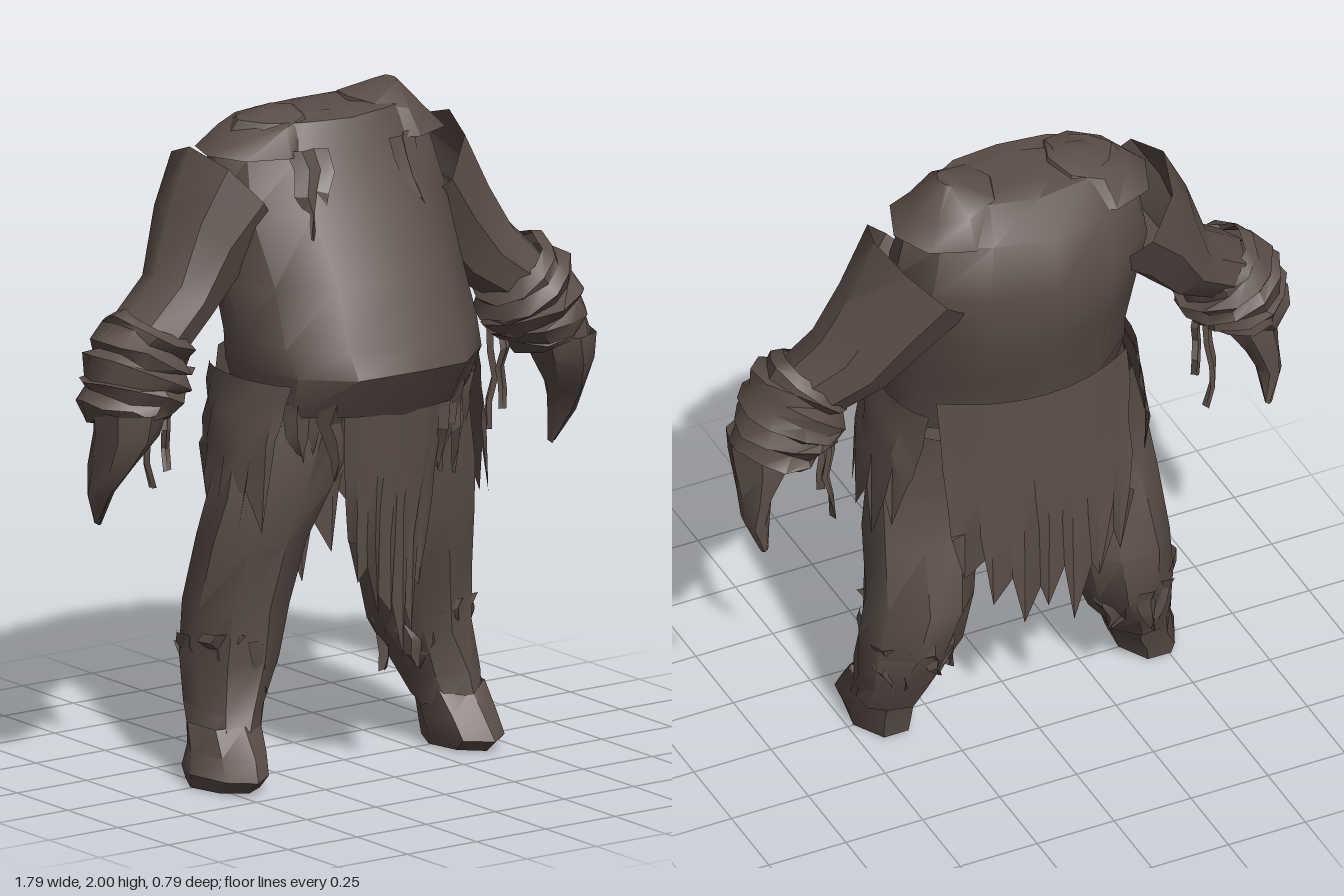
import * as THREE from 'three';
import { toCreasedNormals } from 'three/addons/utils/BufferGeometryUtils.js';

// Small seeded generator for worn, uneven cloth
let seed = 7;
const rnd = () => { seed = (seed * 16807) % 2147483647; return seed / 2147483647; };
const jit = (a) => (rnd() - 0.5) * 2 * a;

const cloth = new THREE.MeshStandardMaterial({ color: 0x5b4e49, side: THREE.DoubleSide });
cloth.name = 'dark brown cloth';

// Grid of points (rows of equal length) to a creased surface; caps lists rows to close
function skin(rows, closed, crease = 0.7, caps = []) {
  const n = rows[0].length, pos = [], idx = [];
  rows.forEach((r) => r.forEach((p) => pos.push(...p)));
  for (let i = 0; i < rows.length - 1; i++) {
    for (let j = 0; j < (closed ? n : n - 1); j++) {
      const a = i * n + j, b = i * n + (j + 1) % n;
      idx.push(a, a + n, b, b, a + n, b + n);
    }
  }
  caps.forEach((i) => {
    const a = i * n;
    for (let j = 1; j < n - 1; j++) {
      if (i) idx.push(a, a + j + 1, a + j); else idx.push(a, a + j, a + j + 1);
    }
  });
  const g = new THREE.BufferGeometry();
  g.setAttribute('position', new THREE.Float32BufferAttribute(pos, 3));
  g.setIndex(idx);
  return toCreasedNormals(g, crease);
}

// Sections [x, y, z, width radius, depth radius, tilt], listed from top to bottom
function loft(sections, sides, rough = 0, caps = []) {
  return skin(sections.map(([x, y, z, rx, rz, tilt = 0]) => {
    const ring = [];
    for (let j = 0; j < sides; j++) {
      const a = -(j / sides) * Math.PI * 2 + Math.PI / 2;
      const u = Math.cos(a) * rx;
      ring.push([x + u * Math.cos(tilt) + jit(rough), y + u * Math.sin(tilt) + jit(rough),
        z + Math.sin(a) * rz + jit(rough)]);
    }
    return ring;
  }), true, 0.7, caps);
}

// Torn strip hanging from (x, y, z) to a tip; face is its outward heading
function rag(x, y, z, width, length, face, lean = 0) {
  const rows = [];
  [1, 0.95, 0.8, 0.5, 0.06].forEach((t, i) => {
    const k = i / 4, out = lean * k + jit(0.01), slide = jit(0.015);
    rows.push([-1, -0.3, 0.35, 1].map((s, j) => {
      const w = s * width * 0.5 * t + slide;
      const o = out + (j === 1 ? 0.015 : j === 2 ? -0.01 : 0);
      return [x + Math.cos(face) * w + Math.sin(face) * o,
        y - length * k + (i ? jit(length * 0.03) : 0),
        z - Math.sin(face) * w + Math.cos(face) * o];
    }));
  });
  return skin(rows, false, 0.4);
}

// Wide cloth with a torn lower edge; tips and notches alternate along the bottom.
// place(t, k) gives x and z for a position across (0..1) and a drop (0..1).
function drape(top, bottoms, place, fold = 0.01) {
  const n = bottoms.length - 1, rows = [];
  const bends = bottoms.map((b, j) => (j % 2 ? 1 : -1) * fold + jit(fold));
  for (let i = 0; i <= 5; i++) {
    const k = i / 5;
    rows.push(bottoms.map((b, j) => {
      const [x, z] = place(j / n, k);
      // Folds run evenly down the cloth and only the last row is torn
      const y = i < 5 ? top + (Math.max(...bottoms) - top) * i / 4 : b;
      return [x + (i ? jit(0.008) : 0), Math.max(y, b), z + bends[j] * k];
    }));
  }
  return skin(rows, false, 0.6);
}

export function createModel() {
  seed = 7;
  const model = new THREE.Group();
  const add = (geo, name, parent = model) => {
    const m = new THREE.Mesh(geo, cloth);
    m.name = name;
    parent.add(m);
  };
  const group = (name) => {
    const g = new THREE.Group();
    g.name = name;
    model.add(g);
    return g;
  };

  // Heavy torso with hunched back and low belly, open at the neck
  add(loft([
    [0, 1.955, -0.1, 0.17, 0.08], [0, 1.95, -0.11, 0.3, 0.14], [0, 1.86, -0.13, 0.37, 0.21],
    [0, 1.7, -0.112, 0.4, 0.28], [0, 1.5, -0.045, 0.39, 0.325], [0, 1.33, 0.02, 0.39, 0.335],
    [0, 1.25, 0.05, 0.385, 0.345], [0, 1.11, 0.03, 0.36, 0.27],
  ], 12, 0.007, [0]), 'torso');

  for (const s of [1, -1]) {
    const side = s > 0 ? 'left' : 'right';

    // Raised shoulder, sharper on the left
    const peak = s > 0 ? [0.235, 2.0, 0.025] : [-0.16, 1.975, 0.05];
    add(loft([
      [peak[0], peak[1], -0.11, peak[2], 0.04], [s * 0.22, 1.94, -0.115, 0.13, 0.13, s * -0.2],
      [s * 0.23, 1.86, -0.12, 0.18, 0.18],
    ], 8, 0.004, [0]), side + 'Shoulder');

    // Sleeve, bent more at the right elbow
    const sleeve = s > 0
      ? [[0.34, 1.72, 0.195, 0.8], [0.45, 1.58, 0.155, 0.72], [0.55, 1.45, 0.125, 0.7]]
      : [[0.33, 1.74, 0.195, 0.85], [0.435, 1.62, 0.155, 0.82], [0.53, 1.46, 0.105, 0.78]];
    const depth = [0.2, 0.17, 0.14], zs = [-0.14, -0.13, -0.11];
    add(loft([
      ...sleeve.map(([x, y, r, t], i) => [s * x, y, zs[i], r, depth[i], s * t]),
      [s * 0.66, 1.36, -0.075, 0.105, 0.13, s * 0.7],
    ], 8, 0.006), side + 'Sleeve');

    // Wrinkled forearm wrapping: loops of bulging cloth
    const wrap = [];
    for (let i = 0; i <= 10; i++) {
      const k = i / 10, r = 0.118 + 0.037 * Math.sin(k * Math.PI) + (i % 2 ? 0.01 : -0.01);
      wrap.push([s * (0.65 + 0.12 * k), 1.395 - 0.25 * k, -0.065 + 0.02 * k, r, r * 1.08,
        s * (0.6 - 0.45 * k) + jit(0.18)]);
    }
    add(loft(wrap, 11, 0.012, [10]), side + 'Wrap');

    // Drooping flat hand running to a point at the back
    add(loft([
      [s * 0.78, 1.18, 0, 0.11, 0.11], [s * 0.79, 1.1, -0.005, 0.095, 0.11],
      [s * 0.82, 1.0, -0.035, 0.055, 0.08], [s * 0.835, 0.92, -0.065, 0.038, 0.045],
      [s * 0.82, 0.82, -0.095, 0.008, 0.01],
    ], 7, 0.005, [4]), side + 'Hand');
    add(rag(s * 0.615, 1.2, -0.12, 0.045, 0.31, 0.5), side + 'WrapStrip');
    add(rag(s * 0.61, 1.2, -0.06, 0.035, 0.24, 1.3), side + 'WrapStrip');

    // Bent leg in baggy trousers, the right one splayed wider
    const x = s > 0 ? [0.2, 0.25, 0.28, 0.31, 0.345, 0.38, 0.39]
      : [-0.21, -0.27, -0.31, -0.335, -0.355, -0.39, -0.42];
    add(loft([
      [x[0], 1.1, 0, 0.19, 0.2], [x[1], 0.88, 0.01, 0.185, 0.175], [x[2], 0.72, -0.02, 0.17, 0.175],
      [x[3], 0.52, -0.085, 0.16, 0.18], [x[4], 0.36, -0.09, 0.147, 0.165],
      [x[5], 0.22, -0.06, 0.115, 0.14], [x[6], 0.13, -0.02, 0.1, 0.125],
    ], 9, 0.012), side + 'Leg');

    // Slanted foot: narrow ankle, long low toe turned outward on the right
    const toe = s > 0 ? [0.39, 0.39] : [-0.44, -0.465];
    add(loft([
      [x[6], 0.18, -0.035, 0.105, 0.125], [toe[0], 0.1, 0.015, 0.1, 0.15],
      [toe[1], 0.045, 0.05, 0.1, 0.17], [toe[1], 0.005, 0.03, 0.09, 0.14],
    ], 7, 0.004, [3]), side + 'Foot');

    // Crumpled cuffs and knee folds lying against the trousers
    const tatters = group(side + 'LegTatters');
    for (let i = 0; i < 6; i++) {
      const a = (i / 6) * Math.PI * 2 + 0.2;
      add(rag(x[4] + Math.sin(a) * 0.135, 0.42 + jit(0.04), -0.085 + Math.cos(a) * 0.155,
        0.13, 0.16 + jit(0.06), a, -0.025), 'cuffTatter', tatters);
    }

    // Cloth hanging over the outside of the hip
    const hip = [0.98, 0.8, 0.9, 0.72, 0.88, 0.76, 0.9, 0.78, 1.0];
    add(drape(1.22, hip, (t, k) => {
      const a = (t - 0.5) * 2.2;
      return [s * (0.395 * Math.cos(a * 0.5) + 0.05 * k), Math.sin(a) * (0.23 - 0.04 * k)];
    }), side + 'HipCloth');

    // Crumpled lapel on the chest
    add(rag(s * 0.17, 1.88, 0.05, 0.13, 0.24, s * 0.35, 0.1), side + 'Lapel');
  }

  // Loose fold under the left sleeve
  add(skin([[[0.38, 1.62, -0.05], [0.5, 1.44, -0.09]], [[0.385, 1.45, 0.02], [0.475, 1.38, -0.06]],
    [[0.385, 1.25, 0.03], [0.4, 1.25, -0.03]]], false), 'leftArmpitFold');

  // Front loincloth falling from under the belly to long points
  const frontTips = [0.72, 0.6, 0.64, 0.5, 0.56, 0.5, 0.54, 0.36, 0.52, 0.43, 0.6, 0.56, 0.72];
  add(drape(1.12, frontTips, (t, k) => {
    const u = t * 2 - 1;
    return [u * (0.18 - 0.05 * k), 0.295 - 0.045 * k - u * u * 0.045];
  }), 'frontCloth');

  // Torn scraps beside the loincloth
  for (const [x, l] of [[-0.2, 0.24], [-0.29, 0.2], [0.2, 0.26], [0.28, 0.3], [0.35, 0.22]]) {
    add(rag(x, 1.16, 0.3 - x * x * 1.2, 0.12, l, x * 2, -0.04), 'frontScrap');
  }

  // Back cloth, broader and hanging clear of the legs
  const backTips = [0.8, 0.64, 0.72, 0.54, 0.64, 0.46, 0.6, 0.5, 0.64, 0.42, 0.62, 0.55, 0.7, 0.6, 0.8];
  add(drape(1.26, backTips, (t, k) => {
    const u = t * 2 - 1;
    return [-u * (0.31 - 0.02 * k), -0.3 - 0.03 * k + u * u * (0.1 - 0.04 * k)];
  }), 'backCloth');

  return model;
}
